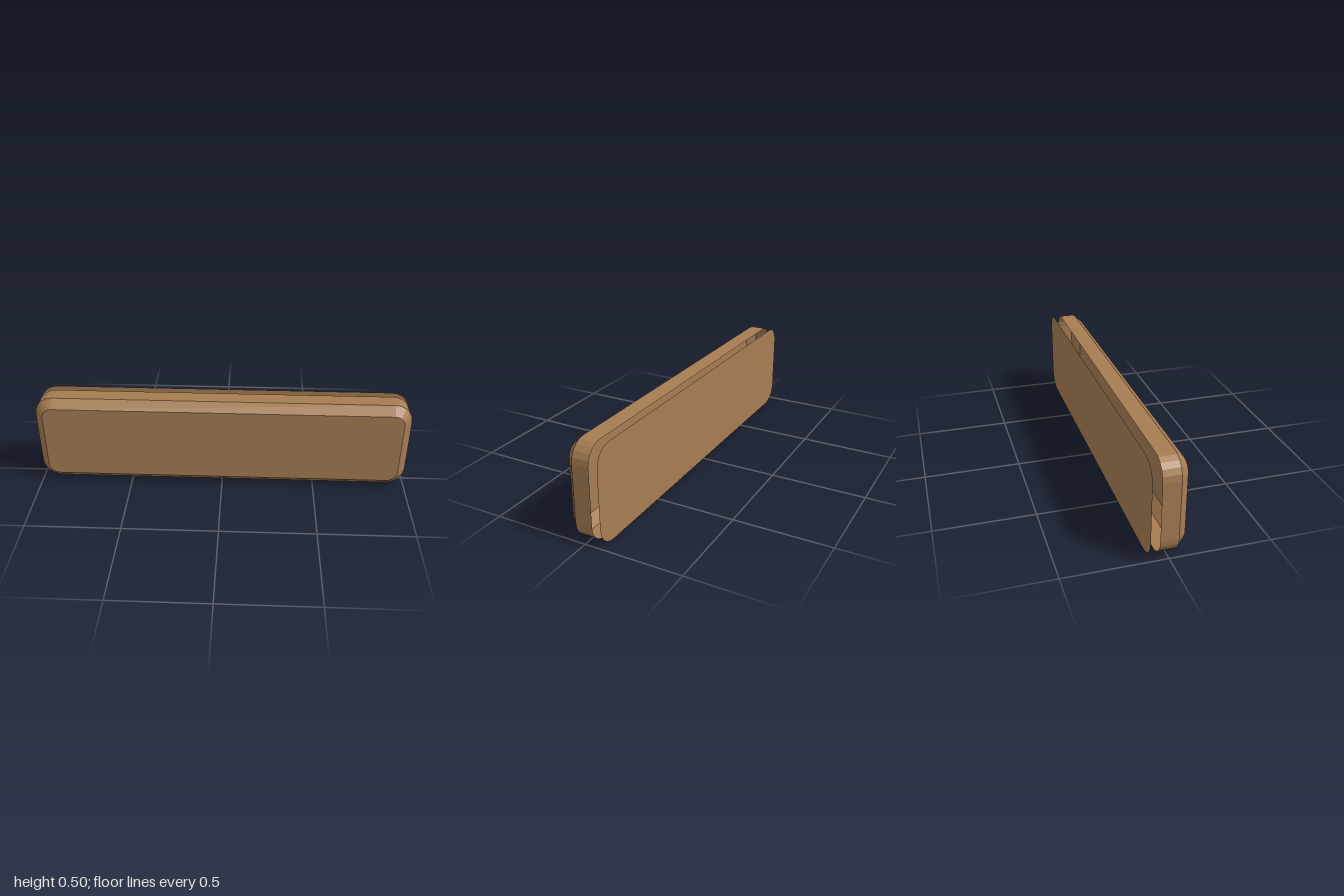
import * as THREE from 'three';

const W = 2, H = 0.495, RADIUS = 0.098, BEVEL = 0.0443;
const Z_FRONT = 0.0885, Z_RIM = 0.0443;
const CORNER_STEPS = 5;

// Counter-clockwise rounded rectangle, moved inward by `inset`
function outline(inset) {
  const r = RADIUS - inset, points = [];
  const corners = [[1, 1], [-1, 1], [-1, -1], [1, -1]];
  corners.forEach(([sx, sy], i) => {
    for (let s = 0; s <= CORNER_STEPS; s++) {
      const a = (i + s / CORNER_STEPS) * Math.PI / 2;
      points.push(new THREE.Vector2(
        sx * (W / 2 - RADIUS) + r * Math.cos(a),
        H / 2 + sy * (H / 2 - RADIUS) + r * Math.sin(a)));
    }
  });
  return points;
}

// Band of flat quads joining a rear outline to a front outline
function band(rearInset, rearZ, frontInset, frontZ) {
  const rear = outline(rearInset), front = outline(frontInset), pos = [];
  const n = rear.length;
  for (let i = 0; i < n; i++) {
    const j = (i + 1) % n;
    const a = [rear[i].x, rear[i].y, rearZ], b = [rear[j].x, rear[j].y, rearZ];
    const c = [front[j].x, front[j].y, frontZ], d = [front[i].x, front[i].y, frontZ];
    pos.push(...a, ...b, ...c, ...a, ...c, ...d);
  }
  const geometry = new THREE.BufferGeometry();
  geometry.setAttribute('position', new THREE.Float32BufferAttribute(pos, 3));
  geometry.computeVertexNormals();
  return geometry;
}

// Flat sheet filling the outline
function sheet(inset, z) {
  return new THREE.ShapeGeometry(new THREE.Shape(outline(inset))).translate(0, 0, z);
}

export function createModel() {
  const group = new THREE.Group();
  group.name = 'bevelledPlank';
  const wood = new THREE.MeshStandardMaterial({
    color: 0xa67c52, flatShading: true, side: THREE.DoubleSide,
  });
  wood.name = 'wood brown';

  const add = (name, geometry) => {
    const mesh = new THREE.Mesh(geometry, wood);
    mesh.name = name;
    group.add(mesh);
  };

  // Open-backed shell
  add('frontFace', sheet(BEVEL, Z_FRONT));
  add('frontBevel', band(0, Z_RIM, BEVEL, Z_FRONT));
  add('sideWall', band(0, -Z_RIM, 0, Z_RIM));

  // Thin back sheet, set apart from the shell by a narrow gap
  add('backSheet', sheet(0, -Z_FRONT).rotateY(Math.PI).translate(0, 0, -2 * Z_FRONT));
  return group;
}
